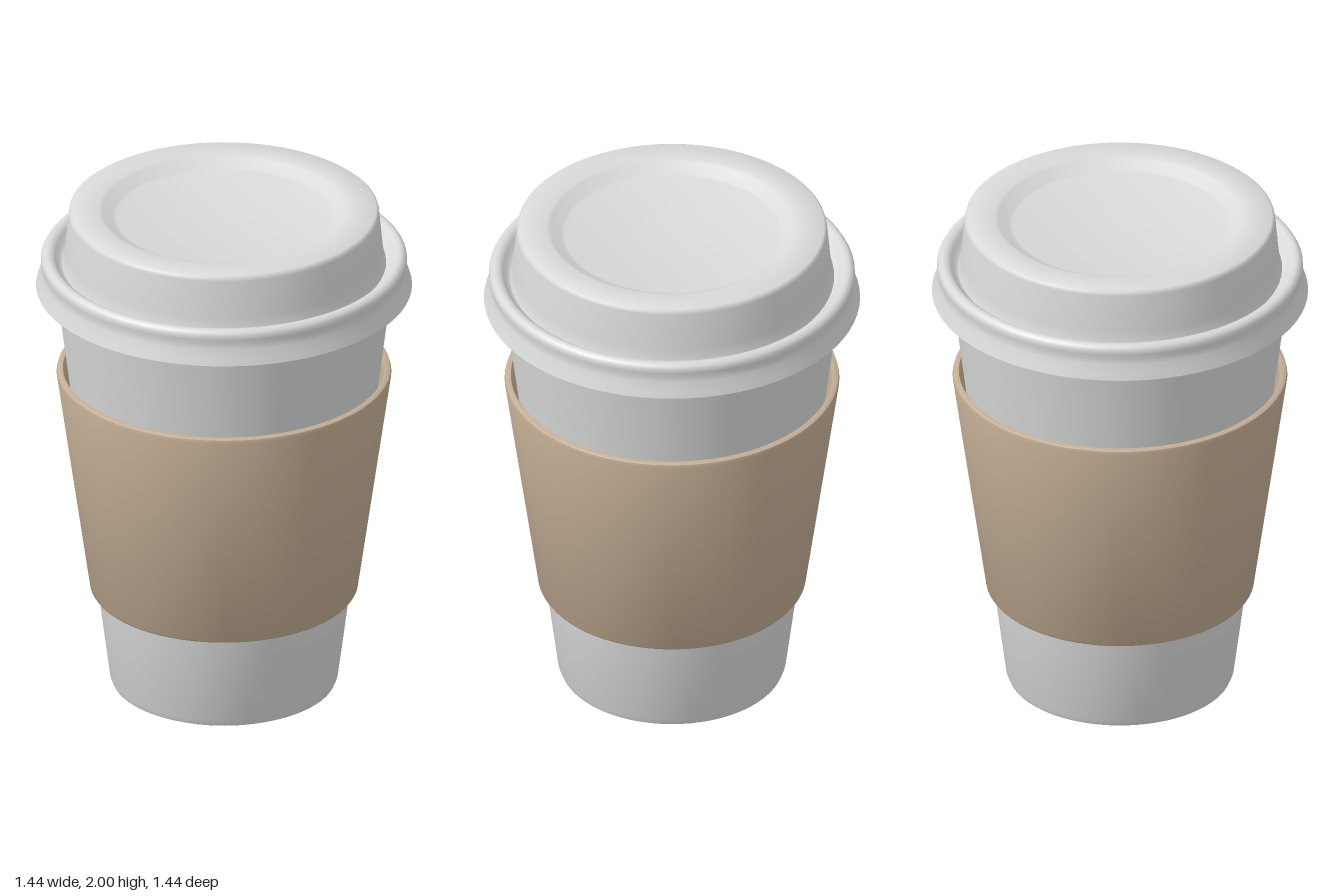
import * as THREE from 'three';
import { toCreasedNormals } from 'three/addons/utils/BufferGeometryUtils.js';

const paper = new THREE.MeshStandardMaterial({ color: 0xd9dbda });
paper.name = 'white paper';
const cardboard = new THREE.MeshStandardMaterial({ color: 0xc4ae94 });
cardboard.name = 'tan cardboard';

// Turned part: the profile runs [radius, height] with the outside on its right
function turned(name, profile, material) {
  const points = profile.map(([r, y]) => new THREE.Vector2(r, y));
  const geometry = toCreasedNormals(new THREE.LatheGeometry(points, 72), 0.7);
  const mesh = new THREE.Mesh(geometry, material);
  mesh.name = name;
  return mesh;
}

export function createModel() {
  const group = new THREE.Group();
  group.name = 'takeawayCup';

  // Tapered cup with a rounded foot and a slightly dished base
  group.add(turned('cup', [
    [0, 0.012], [0.2, 0.012], [0.26, 0.004], [0.37, 0], [0.41, 0.003],
    [0.427, 0.012], [0.436, 0.035], [0.483, 0.4], [0.597, 1.32], [0.647, 1.72],
  ], paper));

  // Sleeve: a thick conical band, closed on all sides
  group.add(turned('sleeve', [
    [0.478, 0.405], [0.505, 0.402], [0.512, 0.412], [0.64, 1.312],
    [0.637, 1.324], [0.63, 1.328], [0.616, 1.328], [0.611, 1.32],
    [0.608, 1.29], [0.478, 0.405],
  ], cardboard));

  // Lid: underside, flared skirt, rounded bead, groove, raised wall, sunken top
  group.add(turned('lid', [
    [0.63, 1.735], [0.675, 1.735], [0.705, 1.68], [0.719, 1.68],
    [0.711, 1.705], [0.699, 1.74], [0.695, 1.762], [0.699, 1.78],
    [0.699, 1.797], [0.692, 1.81], [0.678, 1.817], [0.66, 1.814],
    [0.645, 1.803], [0.634, 1.782], [0.62, 1.775], [0.614, 1.79],
    [0.608, 1.83], [0.594, 1.98], [0.591, 1.993], [0.582, 2],
    [0.48, 2], [0.465, 1.995], [0.425, 1.968], [0.41, 1.964], [0, 1.964],
  ], paper));

  return group;
}
